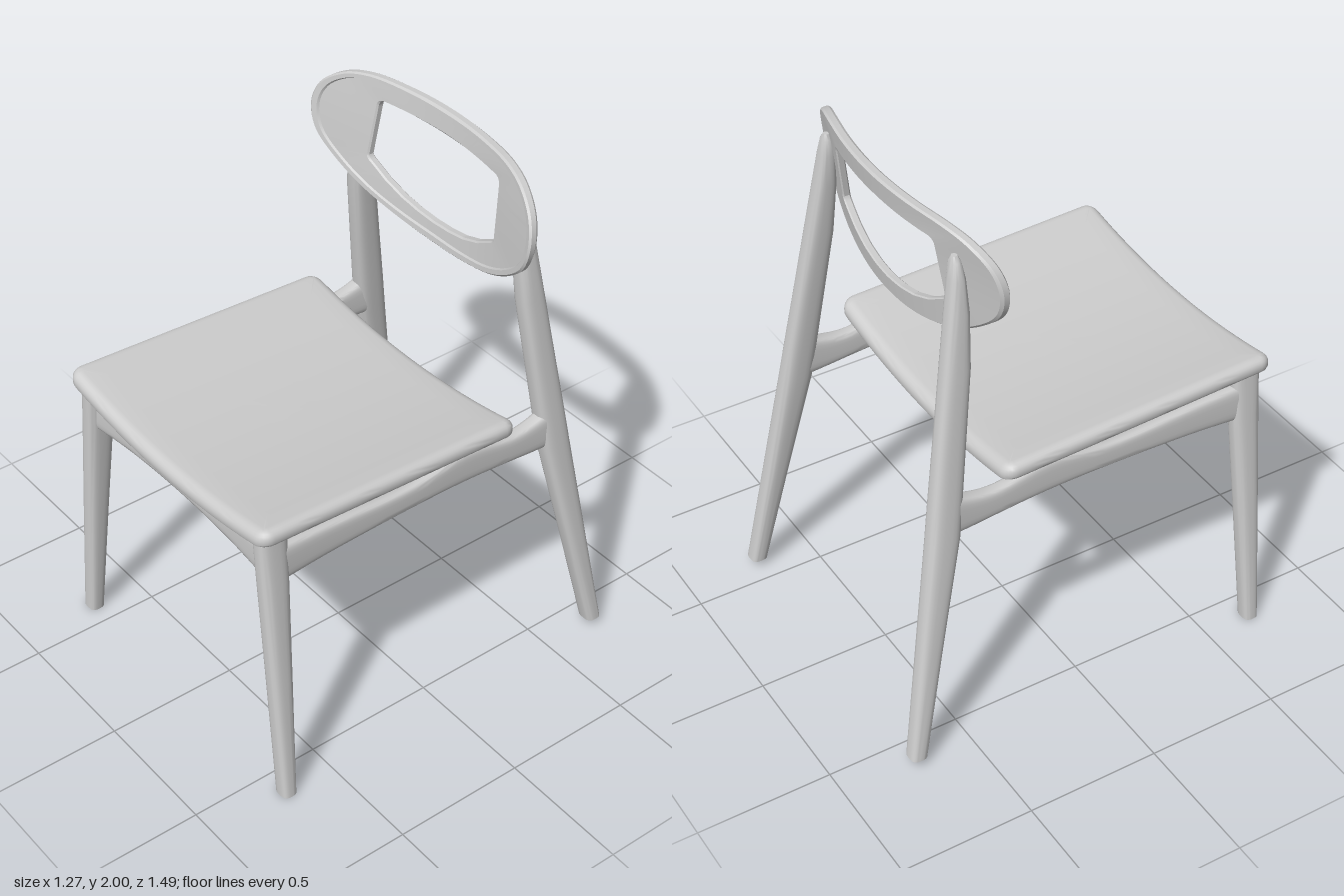
import * as THREE from 'three';
import { toCreasedNormals } from 'three/addons/utils/BufferGeometryUtils.js';

const paleGrey = new THREE.MeshStandardMaterial({ color: 0xcccccc });
paleGrey.name = 'paleGrey';

// Skin a list of equal-length rings of Vector3; closed joins last ring to first, otherwise the ends are capped
function loft(rings, closed = false, crease = 0.7) {
  const n = rings[0].length, m = rings.length;
  const pts = rings.flat();
  const tris = [];
  for (let i = 0; i < (closed ? m : m - 1); i++) {
    for (let j = 0; j < n; j++) {
      const a = i * n + j, b = i * n + (j + 1) % n;
      const k = ((i + 1) % m) * n, c = k + j, d = k + (j + 1) % n;
      tris.push([a, b, d], [a, d, c]);
    }
  }
  if (!closed) {
    for (const [start, flip] of [[0, true], [(m - 1) * n, false]]) {
      const centre = new THREE.Vector3();
      for (let j = 0; j < n; j++) centre.addScaledVector(pts[start + j], 1 / n);
      const c = pts.push(centre) - 1;
      for (let j = 0; j < n; j++) {
        const a = start + j, b = start + (j + 1) % n;
        tris.push(flip ? [c, b, a] : [c, a, b]);
      }
    }
  }
  // Turn the faces outwards
  const v = new THREE.Vector3();
  let volume = 0;
  for (const [a, b, c] of tris) volume += pts[a].dot(v.crossVectors(pts[b], pts[c]));
  if (volume < 0) tris.forEach(t => t.reverse());
  const geo = new THREE.BufferGeometry().setFromPoints(pts);
  geo.setIndex(tris.flat());
  return toCreasedNormals(geo, crease);
}

// Rounded section: half sizes a and b, as [u, v] pairs
function section(a, b, n = 28, power = 0.65) {
  return Array.from({ length: n }, (_, i) => {
    const t = (i + 0.5) / n * Math.PI * 2, c = Math.cos(t), s = Math.sin(t);
    return [a * Math.sign(c) * Math.abs(c) ** power, b * Math.sign(s) * Math.abs(s) ** power];
  });
}

// Leg from stations [y, x centre, z back, z front, half width]
function leg(stations, side) {
  return loft(stations.map(([y, x, z0, z1, w]) =>
    section(w, (z1 - z0) / 2).map(([u, v]) => new THREE.Vector3(side * (x + u), y, (z0 + z1) / 2 + v))));
}

// Rail from stations [position along, y low, y high, half thickness], smoothed by a spline
function rail(stations, place) {
  const lo = new THREE.CatmullRomCurve3(stations.map(s => new THREE.Vector3(s[0], s[1], s[3])));
  const hi = new THREE.CatmullRomCurve3(stations.map(s => new THREE.Vector3(s[0], s[2], s[3])));
  const rings = [];
  for (let i = 0; i <= 32; i++) {
    const a = lo.getPoint(i / 32), b = hi.getPoint(i / 32);
    rings.push(section(a.z, (b.y - a.y) / 2, 24, 0.5)
      .map(([u, v]) => place((a.x + b.x) / 2, (a.y + b.y) / 2 + v, u)));
  }
  return loft(rings);
}

// Dished seat cushion made of concentric rounded rectangles
function seatGeometry() {
  const rectangle = (inset, scale) => {
    const hx = 0.568 - inset, hz = 0.537 - inset, r = Math.max(0.05 - inset, 0.012), out = [];
    const corners = [[1, 1], [-1, 1], [-1, -1], [1, -1]];
    corners.forEach(([sx, sz], q) => {
      for (let i = 0; i <= 6; i++) {
        const t = (q + i / 6) * Math.PI / 2;
        out.push([sx * (hx - r) + r * Math.cos(t), sz * (hz - r) + r * Math.sin(t)]);
      }
      const a = out[out.length - 1], t = (q + 1) * Math.PI / 2, [nx, nz] = corners[(q + 1) % 4];
      const b = [nx * (hx - r) + r * Math.cos(t), nz * (hz - r) + r * Math.sin(t)];
      for (let i = 1; i < 20; i++) out.push([0, 1].map(k => a[k] + (b[k] - a[k]) * i / 20));
    });
    return out.map(p => [p[0] * scale, p[1] * scale]);
  };
  const rings = [];
  const add = (inset, h, scale = 1) => rings.push(rectangle(inset, scale).map(([x, z]) =>
    new THREE.Vector3(x, 1.035 + h + 0.06 * (x / 0.565) ** 2 + 0.045 * (z - 0.537) / 1.07, z + 0.205)));
  for (let i = 1; i <= 8; i++) add(0.012, 0, i / 8);
  add(0.003, 0.004);
  add(0, 0.012);
  for (let i = 0; i <= 6; i++) {
    const t = i / 6 * Math.PI / 2;
    add(0.04 * (1 - Math.cos(t)), 0.024 + 0.036 * Math.sin(t));
  }
  for (let i = 7; i >= 1; i--) add(0.04, 0.06, i / 8);
  return loft(rings);
}

// Mirror a half outline, listed from top centre to bottom centre, into a closed loop
const mirrored = half => [...half, ...half.slice(1, -1).reverse().map(([x, y]) => [-x, y])];

// Distance from (0, cy) to a closed outline along a direction
function reach(outline, cy, dx, dy) {
  let best = 0;
  outline.forEach(([x0, y0], i) => {
    const [x1, y1] = outline[(i + 1) % outline.length];
    const ex = x1 - x0, ey = y1 - y0, det = ex * dy - ey * dx;
    if (Math.abs(det) < 1e-9) return;
    const s = (dx * (y0 - cy) - dy * x0) / det;
    const r = (ex * (y0 - cy) - ey * x0) / det;
    if (s >= -1e-6 && s <= 1 + 1e-6 && r > best) best = r;
  });
  return best;
}

// Curved, reclined backrest ring with a stepped rim on its front
function backrestGeometry() {
  const cy = 1.78;
  const outerCurve = new THREE.CatmullRomCurve3(mirrored([[0, 1.997], [0.2, 1.995], [0.37, 1.987], [0.47, 1.96],
    [0.55, 1.9], [0.578, 1.82], [0.555, 1.725], [0.47, 1.64], [0.34, 1.565], [0.17, 1.518], [0, 1.505]])
    .map(([x, y]) => new THREE.Vector3(x, y, 0)), true);
  const outer = outerCurve.getPoints(200).slice(0, -1).map(p => [p.x, p.y]);
  const hole = mirrored([[0, 1.91], [0.29, 1.91], [0.308, 1.904], [0.314, 1.89], [0.331, 1.69], [0.325, 1.68],
    [0.24, 1.63], [0.16, 1.6], [0.08, 1.585], [0, 1.58]]);
  // Profile: [measured from hole?, inset, height from the back]
  const profile = [[0, 0.008, 0], [0, 0, 0.008], [0, 0, 0.028], [0, 0.008, 0.036], [0, 0.028, 0.036],
    [0, 0.033, 0.029], [1, 0.006, 0.029], [1, 0, 0.024], [1, 0, 0.005], [1, 0.005, 0]];
  const rings = [], count = 240;
  for (let i = 0; i < count; i++) {
    const t = i / count * Math.PI * 2, dx = Math.cos(t), dy = Math.sin(t);
    const ro = reach(outer, cy, dx, dy), ri = reach(hole, cy, dx, dy);
    rings.push(profile.map(([fromHole, d, w]) => {
      const r = fromHole ? ri + d : ro - d, x = r * dx, y = cy + r * dy;
      return new THREE.Vector3(x, y, -0.49 + 0.11 * (x / 0.575) ** 2 + 0.12 * (2 - y) + w);
    }));
  }
  return loft(rings, true, 0.5);
}

export function createModel() {
  const chair = new THREE.Group();
  chair.name = 'chair';
  const add = (name, geo) => {
    const mesh = new THREE.Mesh(geo, paleGrey);
    mesh.name = name;
    chair.add(mesh);
  };
  add('seat', seatGeometry());
  add('backrest', backrestGeometry());

  // Legs and side rails, mirrored
  for (const [side, label] of [[1, 'left'], [-1, 'right']]) {
    add(label + 'FrontLeg', leg([[0, 0.6, 0.662, 0.72, 0.034], [0.5, 0.553, 0.635, 0.72, 0.036],
      [0.9, 0.514, 0.613, 0.72, 0.037], [1.07, 0.499, 0.607, 0.72, 0.037]], side));
    add(label + 'BackLeg', leg([[0.03, 0.6, -0.745, -0.682, 0.035], [0.45, 0.558, -0.676, -0.588, 0.038],
      [0.88, 0.515, -0.606, -0.488, 0.04], [1.03, 0.5, -0.582, -0.468, 0.04], [1.25, 0.478, -0.546, -0.438, 0.038],
      [1.5, 0.453, -0.505, -0.405, 0.038], [1.7, 0.433, -0.472, -0.395, 0.036], [1.82, 0.421, -0.453, -0.4, 0.031],
      [1.88, 0.415, -0.443, -0.41, 0.022], [1.9, 0.413, -0.436, -0.418, 0.01]], side));
    add(label + 'SideRail', rail([[0.66, 0.885, 1.035, 0.032], [0.45, 0.9, 1.022, 0.027], [0.1, 0.912, 1.004, 0.026],
      [-0.14, 0.908, 1.034, 0.026], [-0.34, 0.896, 1.002, 0.028], [-0.43, 0.888, 1.012, 0.03],
      [-0.53, 0.882, 1.045, 0.034]],
    (a, y, u) => new THREE.Vector3(side * (0.507 + u), y, a)));
  }

  // Cross rails under the seat
  add('frontRail', rail([[-0.5, 0.902, 1.05, 0.034], [-0.28, 0.928, 1.035, 0.027], [0, 0.94, 1.025, 0.025],
    [0.28, 0.928, 1.035, 0.027], [0.5, 0.902, 1.05, 0.034]], (a, y, u) => new THREE.Vector3(a, y, 0.662 + u)));
  add('rearRail', rail([[-0.5, 0.908, 1.0, 0.03], [0, 0.908, 1.0, 0.03], [0.5, 0.908, 1.0, 0.03]],
    (a, y, u) => new THREE.Vector3(a, y, -0.2 + u)));
  return chair;
}
